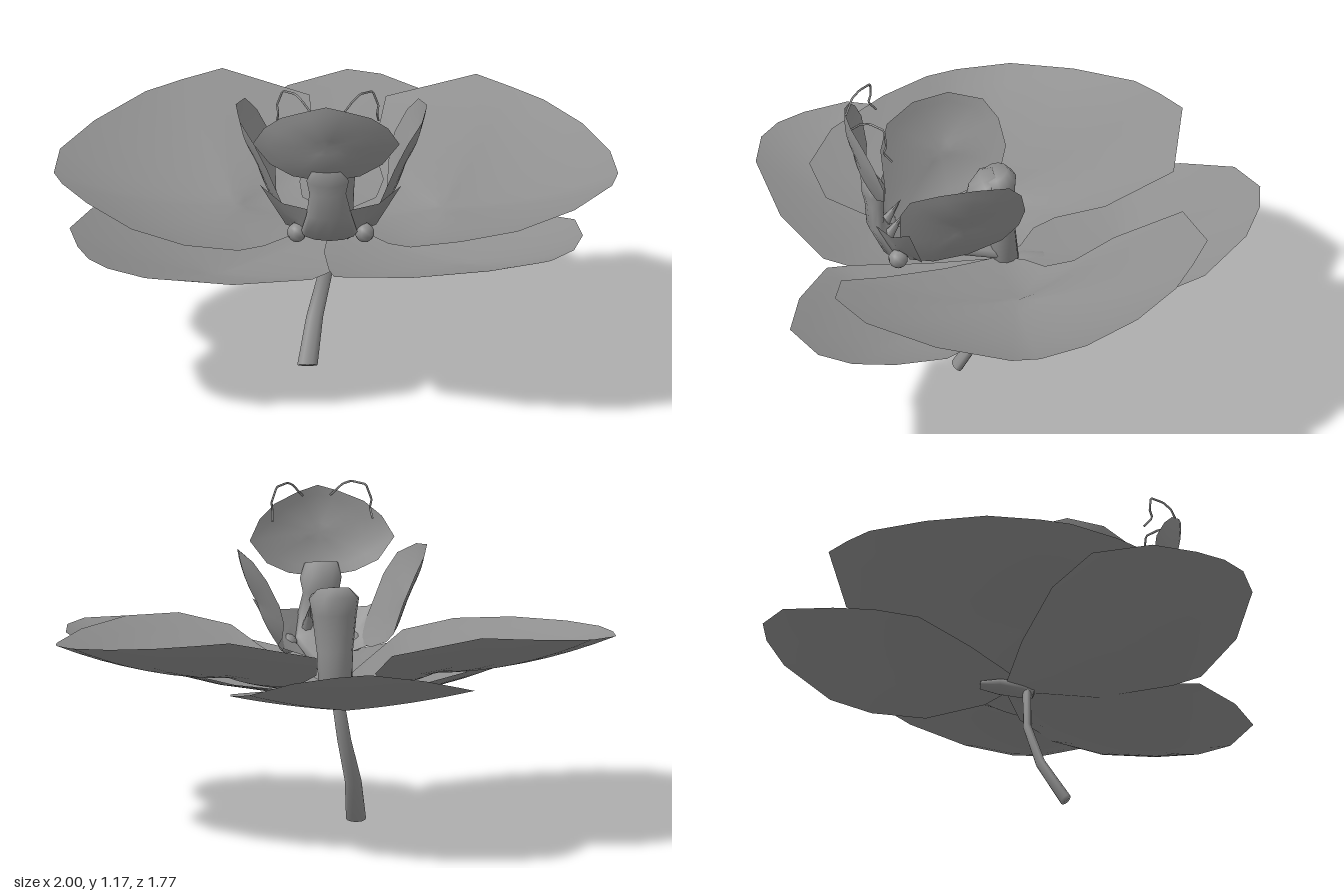
import * as THREE from 'three';

const petalGrey = new THREE.MeshStandardMaterial({ color: 0x8f8f8f, side: THREE.DoubleSide });
petalGrey.name = 'petal grey';

function mesh(name, geometry) {
  const m = new THREE.Mesh(geometry, petalGrey);
  m.name = name;
  return m;
}

function surface(positions, indices) {
  const g = new THREE.BufferGeometry();
  g.setAttribute('position', new THREE.Float32BufferAttribute(positions, 3));
  g.setIndex(indices);
  g.computeVertexNormals();
  return g;
}

// Curved sheet spreading from a hub to a closed rim; long spokes sag more than short ones
function sheet(hub, rim, sag, rings = 8) {
  const pos = [...hub], idx = [], n = rim.length;
  for (let k = 1; k <= rings; k++) {
    const r = k / rings;
    rim.forEach(p => {
      const reach = Math.hypot(p[0] - hub[0], p[1] - hub[1], p[2] - hub[2]);
      const s = 4 * r * (1 - r) * Math.min(1, reach / 0.6);
      for (let a = 0; a < 3; a++) pos.push(hub[a] + (p[a] - hub[a]) * r + sag[a] * s);
    });
  }
  for (let i = 0; i < n; i++) {
    const j = (i + 1) % n;
    idx.push(0, 1 + i, 1 + j);
    for (let k = 1; k < rings; k++) {
      const a = 1 + (k - 1) * n + i, b = 1 + (k - 1) * n + j;
      idx.push(a, a + n, b, b, a + n, b + n);
    }
  }
  return surface(pos, idx);
}

// Closed loft through elliptical sections [x, y, z, half width, half depth]
function loft(sections, sides = 12) {
  const first = sections[0], last = sections[sections.length - 1];
  const rows = [[...first.slice(0, 3), 0, 0], ...sections, [...last.slice(0, 3), 0, 0]];
  const pos = [], idx = [], top = sections.length - 1;
  rows.forEach(([x, y, z, w, d], k) => {
    const s = Math.min(Math.max(k - 1, 0), top);
    const p = sections[Math.max(s - 1, 0)], q = sections[Math.min(s + 1, top)];
    const ty = q[1] - p[1], tz = q[2] - p[2], len = Math.hypot(ty, tz) || 1;
    for (let i = 0; i < sides; i++) {
      const t = i / sides * Math.PI * 2, c = Math.cos(t) * w, e = Math.sin(t) * d;
      pos.push(x + c, y - e * tz / len, z + e * ty / len);
      if (k < rows.length - 1) {
        const a = k * sides + i, b = k * sides + (i + 1) % sides;
        idx.push(a, a + sides, b, b, a + sides, b + sides);
      }
    }
  });
  return surface(pos, idx);
}

export function createModel() {
  const flower = new THREE.Group();
  flower.name = 'orchidFlower';

  // Broad side petals
  flower.add(mesh('rightPetal', sheet([-0.36, 0.565, 0.02], [
    [-0.04, 0.53, -0.04], [-0.12, 0.55, -0.1], [-0.13, 0.58, -0.18], [-0.08, 0.64, -0.35],
    [-0.1, 0.75, -0.6], [-0.41, 0.82, -0.68], [-0.55, 0.8, -0.62], [-0.68, 0.78, -0.55],
    [-0.86, 0.74, -0.36], [-0.98, 0.71, -0.15], [-1, 0.69, 0.04], [-0.97, 0.69, 0.15],
    [-0.88, 0.68, 0.32], [-0.72, 0.66, 0.53], [-0.53, 0.64, 0.64], [-0.34, 0.61, 0.61],
    [-0.25, 0.58, 0.48], [-0.12, 0.55, 0.25], [-0.02, 0.53, 0.05]], [0, -0.03, 0])));
  flower.add(mesh('leftPetal', sheet([0.38, 0.565, 0.04], [
    [0.05, 0.53, -0.04], [0.14, 0.55, -0.1], [0.165, 0.58, -0.2], [0.13, 0.64, -0.35],
    [0.17, 0.75, -0.59], [0.49, 0.82, -0.63], [0.61, 0.8, -0.56], [0.73, 0.78, -0.48],
    [0.87, 0.75, -0.32], [0.97, 0.72, -0.12], [1, 0.7, 0.05], [0.98, 0.69, 0.15],
    [0.85, 0.69, 0.4], [0.65, 0.69, 0.62], [0.45, 0.68, 0.7], [0.27, 0.64, 0.65],
    [0.19, 0.59, 0.48], [0.1, 0.55, 0.25], [0.02, 0.53, 0.05]], [0, -0.03, 0])));

  // Narrower sepals behind the petals
  flower.add(mesh('rightSepal', sheet([-0.42, 0.445, 0.4], [
    [-0.03, 0.5, -0.03], [-0.32, 0.53, 0.01], [-0.65, 0.59, 0.1], [-0.86, 0.63, 0.23],
    [-0.94, 0.63, 0.44], [-0.91, 0.62, 0.6], [-0.87, 0.61, 0.7], [-0.8, 0.6, 0.77],
    [-0.67, 0.58, 0.81], [-0.36, 0.54, 0.77], [-0.08, 0.52, 0.66], [-0.02, 0.51, 0.56],
    [0.03, 0.48, 0.3], [0.02, 0.49, 0.02]], [0, -0.015, 0])));
  flower.add(mesh('leftSepal', sheet([0.42, 0.5, 0.43], [
    [0.05, 0.51, -0.03], [0.36, 0.54, 0.04], [0.66, 0.6, 0.17], [0.85, 0.64, 0.36],
    [0.88, 0.65, 0.55], [0.85, 0.65, 0.7], [0.77, 0.65, 0.81], [0.57, 0.64, 0.88],
    [0.27, 0.58, 0.8], [0, 0.53, 0.66], [-0.02, 0.52, 0.56], [-0.04, 0.49, 0.3], [-0.02, 0.5, 0.02]],
  [0, -0.02, 0])));
  flower.add(mesh('backSepal', sheet([0.03, 0.52, -0.4], [
    [-0.06, 0.52, -0.01], [-0.25, 0.54, -0.17], [-0.42, 0.57, -0.36], [-0.41, 0.6, -0.52],
    [-0.33, 0.64, -0.66], [-0.18, 0.7, -0.83], [0.03, 0.74, -0.89], [0.15, 0.73, -0.87],
    [0.29, 0.7, -0.8], [0.42, 0.63, -0.63], [0.46, 0.6, -0.48], [0.43, 0.57, -0.29],
    [0.24, 0.54, -0.09], [0.06, 0.52, 0]], [0, -0.01, 0])));

  // Stem and its swollen joint
  flower.add(mesh('stem', loft([
    [-0.1, 0.018, 0.178, 0.036, 0.02], [-0.075, 0.17, 0.09, 0.03, 0.017],
    [-0.035, 0.33, 0.045, 0.025, 0.015], [-0.01, 0.49, 0.045, 0.022, 0.015]])));
  flower.add(mesh('stemJoint', loft([
    [0, 0.475, 0.07, 0.025, 0.015], [0, 0.49, 0.03, 0.045, 0.025],
    [0, 0.5, -0.05, 0.05, 0.022], [0, 0.505, -0.12, 0.025, 0.012]])));

  // Central column with a hooked cap
  flower.add(mesh('column', loft([
    [0, 0.5, 0.02, 0.06, 0.05], [0, 0.65, 0.035, 0.065, 0.05], [0, 0.78, 0.045, 0.08, 0.06],
    [0, 0.84, 0.05, 0.09, 0.07], [0, 0.87, 0.06, 0.06, 0.05]])));
  flower.add(mesh('columnCap', loft([
    [0, 0.85, 0.05, 0.06, 0.03], [0, 0.83, 0.09, 0.085, 0.04],
    [0, 0.8, 0.13, 0.045, 0.03], [0, 0.77, 0.155, 0.012, 0.01]])));

  // Lip floor rising into the neck
  flower.add(mesh('lip', loft([
    [-0.01, 0.55, 0.05, 0.06, 0.025], [-0.01, 0.58, 0.2, 0.055, 0.03], [-0.02, 0.59, 0.35, 0.08, 0.035],
    [-0.02, 0.62, 0.44, 0.1, 0.035], [-0.02, 0.7, 0.485, 0.08, 0.03],
    [-0.025, 0.78, 0.485, 0.065, 0.035], [-0.025, 0.83, 0.49, 0.075, 0.042],
    [-0.03, 0.88, 0.51, 0.06, 0.025]])));

  // Upright blade at the end of the lip
  flower.add(mesh('lipBlade', sheet([-0.03, 0.98, 0.56], [
    [-0.03, 0.83, 0.5], [0.09, 0.85, 0.495], [0.17, 0.89, 0.48], [0.23, 0.97, 0.49], [0.19, 1.04, 0.52],
    [0.13, 1.09, 0.55], [0.04, 1.125, 0.58], [-0.03, 1.145, 0.59], [-0.1, 1.125, 0.58],
    [-0.19, 1.09, 0.55], [-0.25, 1.04, 0.52], [-0.29, 0.97, 0.49], [-0.23, 0.89, 0.48],
    [-0.15, 0.85, 0.495]], [0, 0, 0.04], 5)));

  // Mirrored side lobes, tendrils and small growths of the lip
  const lobeOutline = [[0.38, 0.61], [0.42, 0.69], [0.43, 0.85], [0.4, 0.93], [0.3, 0.98], [0.17, 1],
    [0.05, 0.98], [0, 0.92], [-0.02, 0.83], [0, 0.76], [0.06, 0.7], [0.18, 0.65], [0.3, 0.61]];
  for (const side of [-1, 1]) {
    const label = side < 0 ? 'right' : 'left';
    const rim = lobeOutline.map(([z, y]) => {
      const spread = 0.13 + 0.21 * Math.pow((y - 0.57) / 0.43, 0.7);
      return [side * (spread - 0.06 * ((z - 0.2) / 0.23) ** 2) - 0.015, y, z];
    });
    flower.add(mesh(label + 'LipLobe', sheet([side * 0.265 - 0.015, 0.8, 0.21], rim, [side * 0.03, 0, 0], 6)));
    // Claw joining the lobe to the front of the lip
    flower.add(mesh(label + 'LobeClaw', sheet([side * 0.13 - 0.015, 0.65, 0.42], [
      [side * 0.05 - 0.015, 0.57, 0.35], [side * 0.16 - 0.015, 0.61, 0.34],
      [side * 0.25 - 0.015, 0.78, 0.4], [side * 0.17 - 0.015, 0.73, 0.45],
      [side * 0.07 - 0.015, 0.72, 0.49], [side * 0.06 - 0.015, 0.59, 0.44]], [0, -0.01, 0], 4)));

    const path = [[0.05, 1.11, 0.58], [0.09, 1.155, 0.55], [0.115, 1.17, 0.52], [0.16, 1.165, 0.475],
      [0.18, 1.11, 0.47], [0.175, 1.08, 0.48], [0.18, 1.045, 0.45]];
    const tendril = new THREE.CurvePath();
    const points = path.map(([x, y, z]) => new THREE.Vector3(side * x - 0.025, y, z));
    points.slice(1).forEach((p, i) => tendril.add(new THREE.LineCurve3(points[i], p)));
    flower.add(mesh(label + 'Tendril', new THREE.TubeGeometry(tendril, 24, 0.004, 5)));

    const tooth = mesh(label + 'Callus', new THREE.ConeGeometry(0.025, 0.13, 7));
    tooth.position.set(side * 0.045 - 0.015, 0.7, 0.42);
    tooth.rotation.x = -0.6;
    flower.add(tooth);
    const knob = mesh(label + 'LipKnob', new THREE.SphereGeometry(0.035, 10, 7));
    knob.position.set(side * 0.12 - 0.015, 0.61, 0.42);
    flower.add(knob);
  }
  return flower;
}
